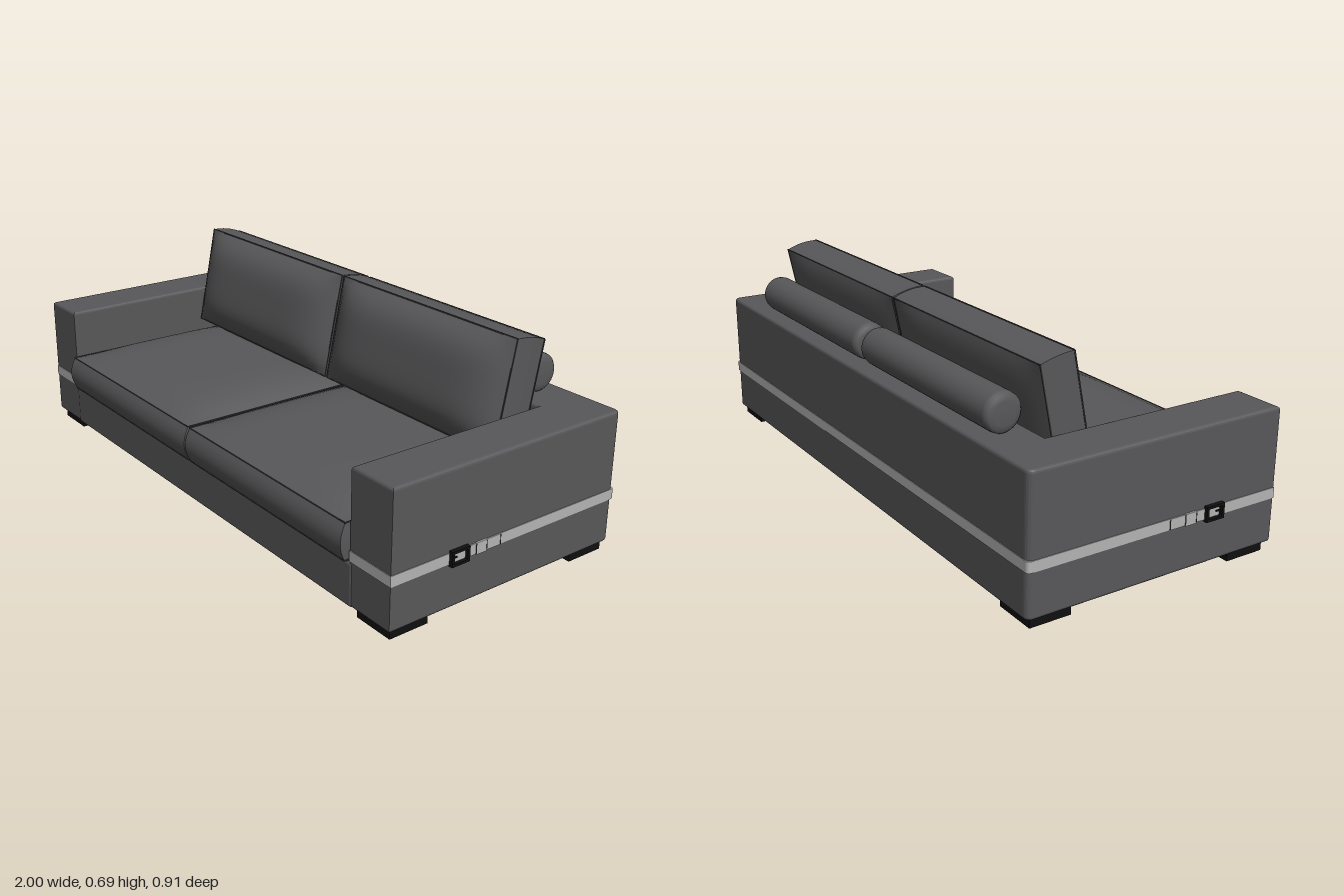
import * as THREE from 'three';
import { RoundedBoxGeometry } from 'three/addons/geometries/RoundedBoxGeometry.js';

const material = (name, color) => {
  const m = new THREE.MeshStandardMaterial({ color });
  m.name = name;
  return m;
};

// U-shaped plan (two arms joined by the back), grown outwards by g
function planShape(g) {
  const x = 0.985 + g, xi = 0.815 - g, back = 0.455 + g, backIn = 0.285 - g, front = -0.425 - g, r = 0.012;
  const s = new THREE.Shape();
  s.moveTo(-x, front);
  s.lineTo(-xi, front);
  s.lineTo(-xi, backIn);
  s.lineTo(xi, backIn);
  s.lineTo(xi, front);
  s.lineTo(x, front);
  s.lineTo(x, back - r);
  s.quadraticCurveTo(x, back, x - r, back);
  s.lineTo(-x + r, back);
  s.quadraticCurveTo(-x, back, -x, back - r);
  s.closePath();
  return s;
}

// Boxed cushion, thickness along z: puffed faces, slightly swollen border
function cushionGeometry(w, h, d, puffFront, puffBack, swell) {
  const g = new THREE.BoxGeometry(w, h, d, 28, 18, 8);
  const p = g.attributes.position;
  for (let i = 0; i < p.count; i++) {
    const x = p.getX(i), y = p.getY(i), z = p.getZ(i);
    const u = 2 * x / w, v = 2 * y / h, t = 2 * z / d;
    const puff = (1 - u ** 6) * (1 - v ** 4);
    const side = 1 - t * t;
    if (t > 0.999) p.setZ(i, z + puffFront * puff);
    if (t < -0.999) p.setZ(i, z - puffBack * puff);
    if (Math.abs(u) > 0.999) p.setX(i, x + Math.sign(u) * 0.003 * side);
    if (Math.abs(v) > 0.999) p.setY(i, y + Math.sign(v) * swell * side);
  }
  g.computeVertexNormals();
  return g;
}

export function createModel() {
  const leather = material('charcoal leather', 0x58585a);
  const thread = material('dark seam', 0x38383a);
  const strap = material('light grey strap', 0xb4b4b4);
  const black = material('black', 0x101010);

  const model = new THREE.Group();
  model.name = 'sofa';
  const add = (name, geo, mat, x = 0, y = 0, z = 0, parent = model) => {
    const m = new THREE.Mesh(geo, mat);
    m.name = name;
    m.position.set(x, y, z);
    parent.add(m);
    return m;
  };
  const box = (name, mat, w, h, d, x, y, z, parent) =>
    add(name, new THREE.BoxGeometry(w, h, d), mat, x, y, z, parent);

  // Arms and back in one piece, with rounded edges
  const bevel = 0.01;
  const shell = new THREE.ExtrudeGeometry(planShape(-bevel), {
    depth: 0.432 - 2 * bevel, bevelEnabled: true, bevelSize: bevel,
    bevelThickness: bevel, bevelSegments: 3, curveSegments: 5,
  });
  shell.rotateX(-Math.PI / 2);
  add('armsAndBack', shell, leather, 0, 0.03 + bevel, 0);

  // Base under the seat
  add('seatBase', new RoundedBoxGeometry(1.65, 0.142, 0.868, 3, 0.01), leather, 0, 0.101, -0.006);

  // Strap running around the outside
  const belt = new THREE.ExtrudeGeometry(planShape(0.002), { depth: 0.034, bevelEnabled: false, curveSegments: 5 });
  belt.rotateX(-Math.PI / 2);
  add('strap', belt, strap, 0, 0.174, 0);

  // Cushion with a seam line around both faces
  const cushion = (name, w, h, d, ...puff) => {
    const group = new THREE.Group();
    group.name = name;
    add(name + 'Body', cushionGeometry(w, h, d, ...puff), leather, 0, 0, 0, group);
    const s = 0.004;
    for (const face of [-1, 1]) for (const side of [-1, 1]) {
      box('seam', thread, w, s, s, 0, side * h / 2, face * d / 2, group);
      box('seam', thread, s, h, s, side * w / 2, 0, face * d / 2, group);
    }
    model.add(group);
    return group;
  };

  // Bolster profile, turned around its long axis
  const bolsterProfile = [
    [0, -0.367], [0.035, -0.366], [0.052, -0.363], [0.06, -0.355], [0.062, -0.342],
    [0.062, 0.342], [0.06, 0.355], [0.052, 0.363], [0.035, 0.366], [0, 0.367],
  ].map(([r, y]) => new THREE.Vector2(r, y));

  for (const s of [-1, 1]) {
    const seat = cushion('seatCushion', 0.8, 0.72, 0.116, 0.045, 0.002, 0.018);
    seat.rotation.x = -Math.PI / 2;
    seat.position.set(s * 0.406, 0.234, 0.077);

    const back = cushion('backCushion', 0.8, 0.355, 0.115, 0.06, 0.02, 0.006);
    back.rotation.x = -0.2;
    back.position.set(s * 0.406, 0.503, -0.208);

    const bolster = add('bolster', new THREE.LatheGeometry(bolsterProfile, 32), leather, s * 0.382, 0.524, -0.37);
    bolster.rotation.z = Math.PI / 2;

    // Feet
    for (const z of [0.341, -0.368])
      box('foot', black, 0.14, 0.034, 0.137, s * 0.9, 0.017, z);

    // Buckle with frame, prong, strap end and keeper loop
    const buckle = new THREE.Group();
    buckle.name = 'buckle';
    model.add(buckle);
    for (const e of [-1, 1]) {
      box('buckleUpright', black, 0.014, 0.048, 0.008, s * 0.993, 0.192, 0.185 + e * 0.029, buckle);
      box('buckleBar', black, 0.014, 0.008, 0.066, s * 0.993, 0.192 + e * 0.02, 0.185, buckle);
    }
    box('prong', black, 0.005, 0.004, 0.018, s * 0.991, 0.192, 0.203, buckle);
    box('strapEnd', strap, 0.006, 0.034, 0.18, s * 0.986, 0.191, 0.115, buckle);
    box('keeperLoop', strap, 0.008, 0.037, 0.04, s * 0.987, 0.191, 0.1, buckle);
    for (const z of [0.12, 0.08, 0.025])
      box('strapStitch', thread, 0.002, 0.03, 0.002, s * (z > 0.05 ? 0.991 : 0.989), 0.191, z, buckle);
  }
  return model;
}
